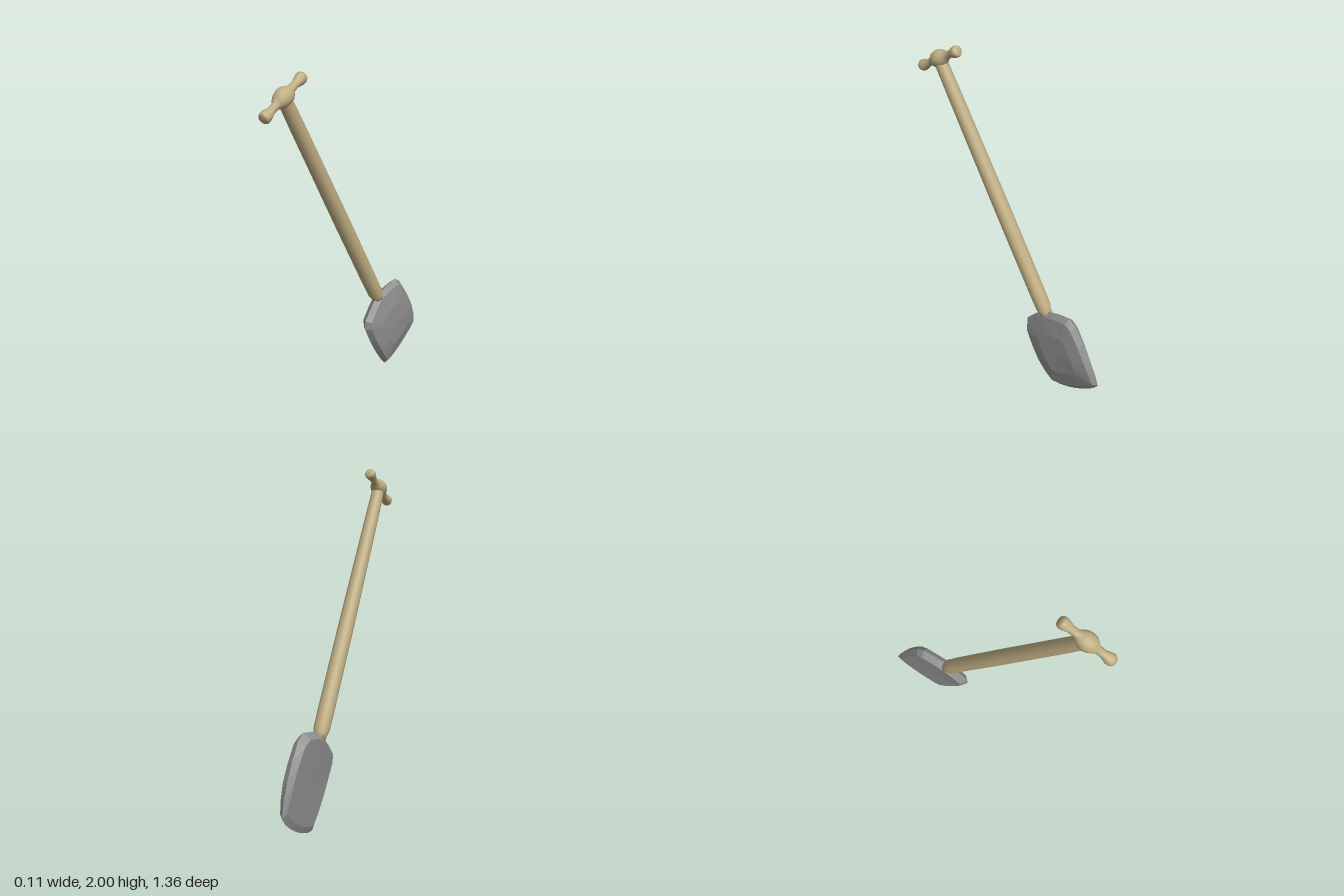
import * as THREE from 'three';

const v2 = (pts) => pts.map(([a, b]) => new THREE.Vector2(a, b));

// Piecewise linear lookup: table of [position, value]
function sample(table, u) {
  if (u <= table[0][0]) return table[0][1];
  for (let i = 1; i < table.length; i++) {
    const [a, va] = table[i - 1], [b, vb] = table[i];
    if (u <= b) return va + (vb - va) * (u - a) / (b - a);
  }
  return table[table.length - 1][1];
}

// Scoop built from scaled copies of its outline: flat back, rim, domed front
function scoopGeometry() {
  const half = [[0, -1.57], [0.07, -1.583], [0.178, -1.62], [0.206, -1.67], [0.215, -1.79], [0.213, -1.9],
    [0.203, -2.0], [0.187, -2.078], [0.14, -2.1], [0.065, -2.113], [0, -2.116]];
  const outline = [...half, ...half.slice(1, -1).reverse().map(([s, t]) => [-s, t])];
  const n = outline.length, midT = -1.85;
  const back = [[0, -0.047], [0.3, -0.03], [0.7, -0.021], [1, -0.014]];
  const rim = [[0, 0.0], [0.5, 0.004], [1, -0.003]];
  const front = [[0, 0.036], [0.2, 0.05], [0.6, 0.056], [0.85, 0.042], [1, 0.012]];
  const layers = [
    [0, (u) => sample(back, u)],
    [0.87, (u) => sample(back, u)],
    [1, (u) => sample(rim, u)],
    [0.9, (u) => 0.3 * sample(rim, u) + 0.7 * sample(front, u)],
    [0.5, (u) => sample(front, u)],
    [0, (u) => sample(front, u)],
  ];
  const pos = [], idx = [];
  layers.forEach(([k, x]) => outline.forEach(([s, t]) => {
    const y = midT + (t - midT) * k;
    pos.push(x((-1.57 - y) / 0.546), y, s * k - 0.004);
  }));
  for (let r = 0; r < layers.length - 1; r++) {
    for (let i = 0; i < n; i++) {
      const j = (i + 1) % n;
      const a = r * n + i, b = r * n + j, c = b + n, d = a + n;
      if (layers[r][0] > 0) idx.push(a, b, d);
      if (layers[r + 1][0] > 0) idx.push(b, c, d);
      else continue;
      if (layers[r][0] === 0) idx.splice(-3, 3, a, c, d);
    }
  }
  const g = new THREE.BufferGeometry();
  g.setAttribute('position', new THREE.Float32BufferAttribute(pos, 3));
  g.setIndex(idx);
  const flat = g.toNonIndexed();
  flat.computeVertexNormals();
  return flat;
}

export function createModel() {
  const wood = new THREE.MeshStandardMaterial({ color: 0xbfae83 });
  wood.name = 'wood';
  const metal = new THREE.MeshStandardMaterial({ color: 0x8e8e8e });
  metal.name = 'metal';

  const model = new THREE.Group();
  model.name = 'shovel';
  // Leaning frame: origin at the grip, y along the shaft, z along the grip
  const lean = new THREE.Group();
  lean.name = 'leaningShovel';
  lean.position.set(0, 1.897, 0.523);
  lean.rotation.x = 0.52;
  model.add(lean);

  const add = (name, geometry, material, x = 0) => {
    const mesh = new THREE.Mesh(geometry, material);
    mesh.name = name;
    mesh.position.x = x;
    lean.add(mesh);
    return mesh;
  };

  // Shaft, slightly thicker toward the scoop, rounded in at its foot
  add('shaft', new THREE.LatheGeometry(v2([[0, -1.61], [0.034, -1.61], [0.038, -1.575], [0.046, -1.545],
    [0.047, -1.45], [0.046, -0.9], [0.04, -0.2], [0.037, 0]]), 12), wood, -0.008);

  // Turned cross grip with a knob in the middle and flared ends
  const end = [[0.026, -0.167], [0.032, -0.155], [0.031, -0.135], [0.021, -0.1], [0.022, -0.065],
    [0.036, -0.045], [0.046, -0.025]];
  const profile = [[0, -0.17], ...end, [0.05, 0], ...end.map(([r, h]) => [r, -h]).reverse(), [0, 0.17]];
  const grip = add('crossGrip', new THREE.LatheGeometry(v2(profile), 12), wood, -0.008);
  grip.rotation.x = Math.PI / 2;

  // Scoop
  add('scoop', scoopGeometry(), metal);

  return model;
}
